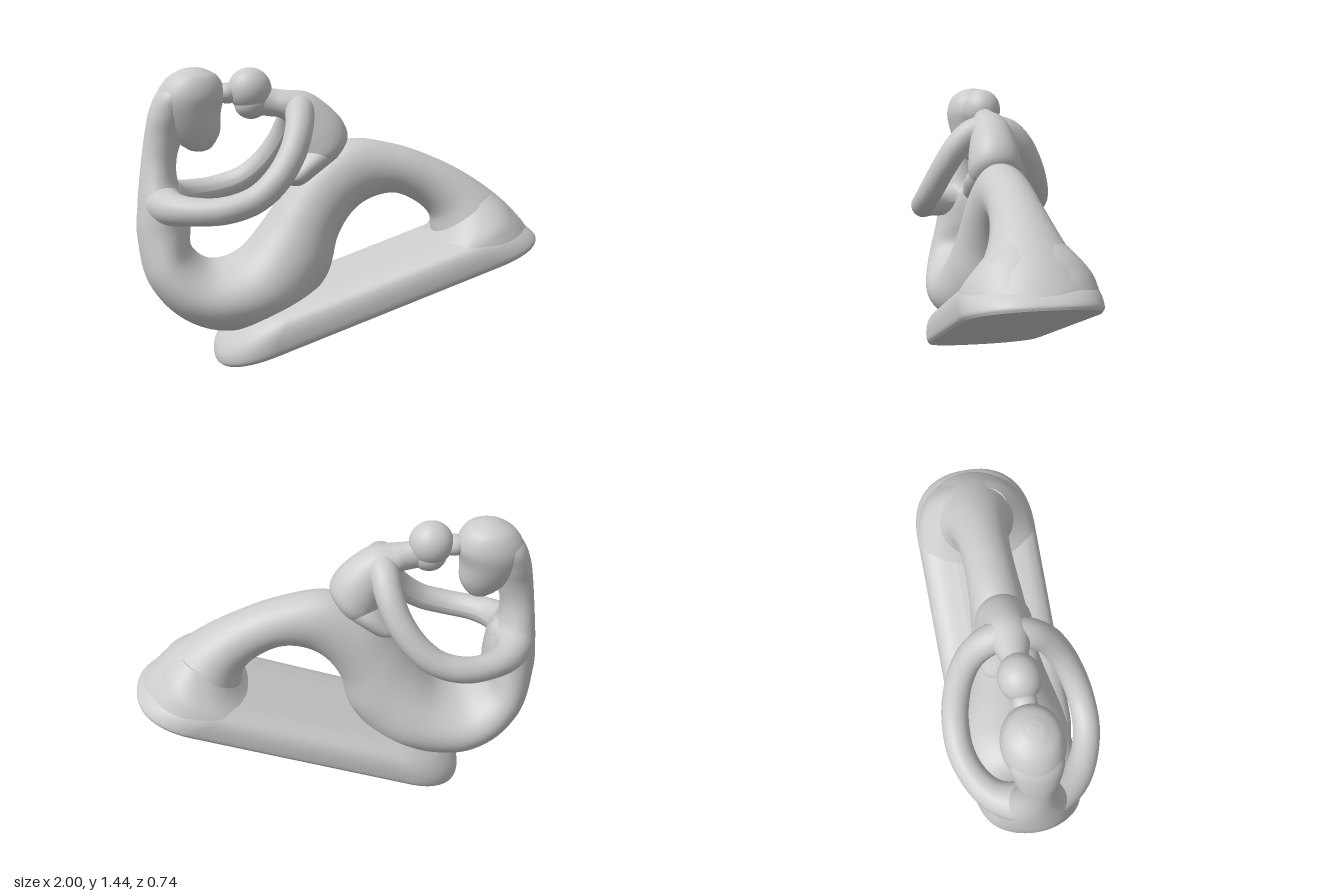
import * as THREE from 'three';

const material = new THREE.MeshStandardMaterial({ color: 0xcccccc, roughness: 0.7 });

// Loft through ribs [ax, ay, bx, by, halfDepth]: each cross-section is an oval
// spanning A to B in the xy plane; long sections may be stadium shaped.
function loft(name, ribs, { steps = 8, sides = 48, stadium = false } = {}) {
  const a = new THREE.CatmullRomCurve3(ribs.map(r => new THREE.Vector3(r[0], r[1], r[4])), false, 'catmullrom', 0.5);
  const b = new THREE.CatmullRomCurve3(ribs.map(r => new THREE.Vector3(r[2], r[3], 0)), false, 'catmullrom', 0.5);
  const n = (ribs.length - 1) * steps;
  const pos = [], idx = [], centres = [];
  const bulge = v => Math.sign(v) * Math.pow(Math.abs(v), stadium ? 0.85 : 1);
  for (let i = 0; i <= n; i++) {
    const A = a.getPoint(i / n), B = b.getPoint(i / n), w = A.z;
    const cx = (A.x + B.x) / 2, cy = (A.y + B.y) / 2;
    const dx = (B.x - A.x) / 2, dy = (B.y - A.y) / 2, half = Math.hypot(dx, dy);
    const round = Math.min(w, half);
    centres.push([cx, cy, 0]);
    for (let j = 0; j < sides; j++) {
      const t = ((j + 0.5) / sides) * Math.PI * 2;
      const c = bulge(Math.cos(t)), s = bulge(Math.sin(t));
      const k = stadium ? (Math.sign(c) * (half - round) + round * c) / half : c;
      pos.push(cx + dx * k, cy + dy * k, w * s);
    }
  }
  for (let i = 0; i < n; i++) {
    for (let j = 0; j < sides; j++) {
      const k = (j + 1) % sides, p = i * sides, q = p + sides;
      idx.push(p + j, q + j, q + k, p + j, q + k, p + k);
    }
  }
  // end caps with their own vertices, so flat ends stay crisp
  for (const [ring, flip] of [[0, false], [n, true]]) {
    const start = pos.length / 3;
    pos.push(...pos.slice(ring * sides * 3, (ring + 1) * sides * 3), ...centres[ring]);
    for (let j = 0; j < sides; j++) {
      const k = (j + 1) % sides;
      idx.push(start + sides, start + (flip ? k : j), start + (flip ? j : k));
    }
  }
  // turn faces outward if the signed volume is negative
  let volume = 0;
  const v = [0, 1, 2].map(() => new THREE.Vector3());
  for (let i = 0; i < idx.length; i += 3) {
    v.forEach((p, m) => p.fromArray(pos, idx[i + m] * 3));
    volume += v[0].dot(v[1].clone().cross(v[2]));
  }
  if (volume < 0) idx.reverse();
  const geo = new THREE.BufferGeometry();
  geo.setAttribute('position', new THREE.Float32BufferAttribute(pos, 3));
  geo.setIndex(idx);
  geo.computeVertexNormals();
  const mesh = new THREE.Mesh(geo, material);
  mesh.name = name;
  return mesh;
}

// Stacked stadium levels [height, start, end, halfWidth] measured along the sloping base
function inclineStack(name, levels) {
  const ribs = levels.map(([h, u0, u1, w]) => [u0, u1].flatMap(u => [
    -0.64 + 0.945 * u - 0.329 * h, 0.002 + 0.329 * u + 0.945 * h]).concat(w));
  return loft(name, ribs, { steps: 4, sides: 64, stadium: true });
}

// Tube along a smooth path whose radius changes from start to middle to end
function limb(name, points, r0, r1, r2) {
  const curve = new THREE.CatmullRomCurve3(points.map(p => new THREE.Vector3(...p)));
  const n = 64, sides = 20;
  const geo = new THREE.TubeGeometry(curve, n, 1, sides, false);
  const p = geo.attributes.position, v = new THREE.Vector3();
  for (let i = 0; i <= n; i++) {
    const t = i / n, c = curve.getPointAt(t);
    const r = r1 + (r0 - r1) * Math.max(0, 1 - 3 * t) ** 2 + (r2 - r1) * Math.max(0, 3 * t - 2) ** 2;
    for (let j = 0; j <= sides; j++) {
      const k = i * (sides + 1) + j;
      v.fromBufferAttribute(p, k).sub(c).multiplyScalar(r).add(c);
      p.setXYZ(k, v.x, v.y, v.z);
    }
  }
  geo.computeVertexNormals();
  const mesh = new THREE.Mesh(geo, material);
  mesh.name = name;
  return mesh;
}

function ellipsoid(name, [x, y, z], [rx, ry, rz], tilt = 0) {
  const mesh = new THREE.Mesh(new THREE.SphereGeometry(1, 40, 28), material);
  mesh.position.set(x, y, z);
  mesh.scale.set(rx, ry, rz);
  mesh.rotation.z = tilt;
  mesh.name = name;
  return mesh;
}

export function createModel() {
  const model = new THREE.Group();
  model.name = 'seatedFigureWithChild';

  // Sloping base, thickening where the feet grow out of it
  model.add(inclineStack('base', [
    [0, 0.012, 1.732, 0.3], [0.02, 0.003, 1.737, 0.314], [0.06, 0.015, 1.715, 0.318],
    [0.1, 0.05, 1.68, 0.315], [0.135, 0.1, 1.64, 0.302], [0.16, 0.15, 1.57, 0.275],
    [0.178, 0.22, 1.5, 0.23], [0.186, 0.35, 1.4, 0.14],
  ]));
  model.add(inclineStack('footFlare', [
    [0.08, 0.95, 1.695, 0.312], [0.13, 1.07, 1.68, 0.303], [0.17, 1.18, 1.66, 0.282],
    [0.21, 1.25, 1.645, 0.25], [0.25, 1.3, 1.625, 0.215], [0.3, 1.35, 1.59, 0.17],
  ]));

  // Legs, lap, back and neck in one sweep
  model.add(loft('body', [
    [0.985, 0.59, 0.78, 0.51, 0.2],
    [0.925, 0.67, 0.55, 0.51, 0.26],
    [0.82, 0.775, 0.48, 0.59, 0.215],
    [0.66, 0.89, 0.46, 0.69, 0.16],
    [0.48, 0.985, 0.385, 0.765, 0.13],
    [0.27, 1.06, 0.27, 0.815, 0.122],
    [0.03, 1.09, 0.15, 0.795, 0.13],
    [-0.17, 0.98, 0.055, 0.73, 0.148],
    [-0.3, 0.82, -0.02, 0.61, 0.17],
    [-0.4, 0.68, -0.08, 0.41, 0.21],
    [-0.5, 0.56, -0.26, 0.23, 0.26],
    [-0.6, 0.51, -0.57, 0.165, 0.28],
    [-0.68, 0.52, -0.8, 0.24, 0.27],
    [-0.745, 0.59, -0.955, 0.42, 0.235],
    [-0.745, 0.7, -1.0, 0.65, 0.19],
    [-0.76, 0.82, -0.993, 0.8, 0.17],
    [-0.8, 0.92, -0.98, 0.92, 0.12],
    [-0.8, 1.02, -0.965, 1.03, 0.09],
    [-0.77, 1.12, -0.947, 1.14, 0.09],
    [-0.74, 1.22, -0.925, 1.24, 0.11],
    [-0.72, 1.32, -0.885, 1.33, 0.115],
    [-0.73, 1.4, -0.81, 1.41, 0.05],
  ]));

  // Head, from chin to crown
  model.add(loft('head', [
    [-0.67, 1.05, -0.7, 1.05, 0.015],
    [-0.632, 1.07, -0.745, 1.06, 0.05],
    [-0.592, 1.14, -0.82, 1.12, 0.09],
    [-0.585, 1.24, -0.88, 1.22, 0.125],
    [-0.565, 1.33, -0.89, 1.31, 0.14],
    [-0.595, 1.405, -0.84, 1.395, 0.115],
    [-0.65, 1.438, -0.77, 1.438, 0.06],
    [-0.69, 1.449, -0.72, 1.449, 0.015],
  ]));

  // Arms joining parent and child in a ring
  for (const side of [1, -1]) {
    model.add(limb(side > 0 ? 'leftArm' : 'rightArm', [
      [-0.87, 0.82, 0], [-0.868, 0.812, 0.09], [-0.825, 0.806, 0.18], [-0.74, 0.805, 0.25],
      [-0.6, 0.815, 0.3], [-0.46, 0.86, 0.302], [-0.355, 0.945, 0.275], [-0.275, 1.06, 0.225],
      [-0.235, 1.16, 0.165], [-0.218, 1.23, 0.09], [-0.205, 1.25, 0],
    ].map(([x, y, z]) => [x, y, z * side]), 0.115, 0.064, 0.074));
  }

  // Child: round head touching the parent's brow, neck, torso and tucked legs
  model.add(ellipsoid('childHead', [-0.445, 1.34, 0], [0.105, 0.105, 0.098]));
  model.add(ellipsoid('childChin', [-0.437, 1.278, 0], [0.085, 0.078, 0.077], 0.3));
  model.add(ellipsoid('browContact', [-0.553, 1.325, 0], [0.065, 0.05, 0.055]));
  model.add(loft('childTorso', [
    [-0.43, 1.37, -0.42, 1.22, 0.055],
    [-0.34, 1.345, -0.35, 1.21, 0.062],
    [-0.27, 1.335, -0.3, 1.2, 0.08],
    [-0.17, 1.325, -0.245, 1.15, 0.1],
    [-0.08, 1.27, -0.235, 1.09, 0.115],
    [0.0, 1.19, -0.22, 1.03, 0.13],
    [0.03, 1.11, -0.19, 0.97, 0.132],
    [0.0, 1.04, -0.13, 0.95, 0.1],
    [-0.04, 1.0, -0.08, 0.97, 0.03],
  ]));
  model.add(loft('childLegs', [
    [-0.05, 1.12, -0.03, 0.98, 0.11],
    [-0.17, 1.07, -0.12, 0.92, 0.14],
    [-0.25, 0.995, -0.2, 0.87, 0.14],
    [-0.3, 0.945, -0.265, 0.875, 0.115],
    [-0.308, 0.93, -0.28, 0.885, 0.06],
  ]));

  return model;
}
